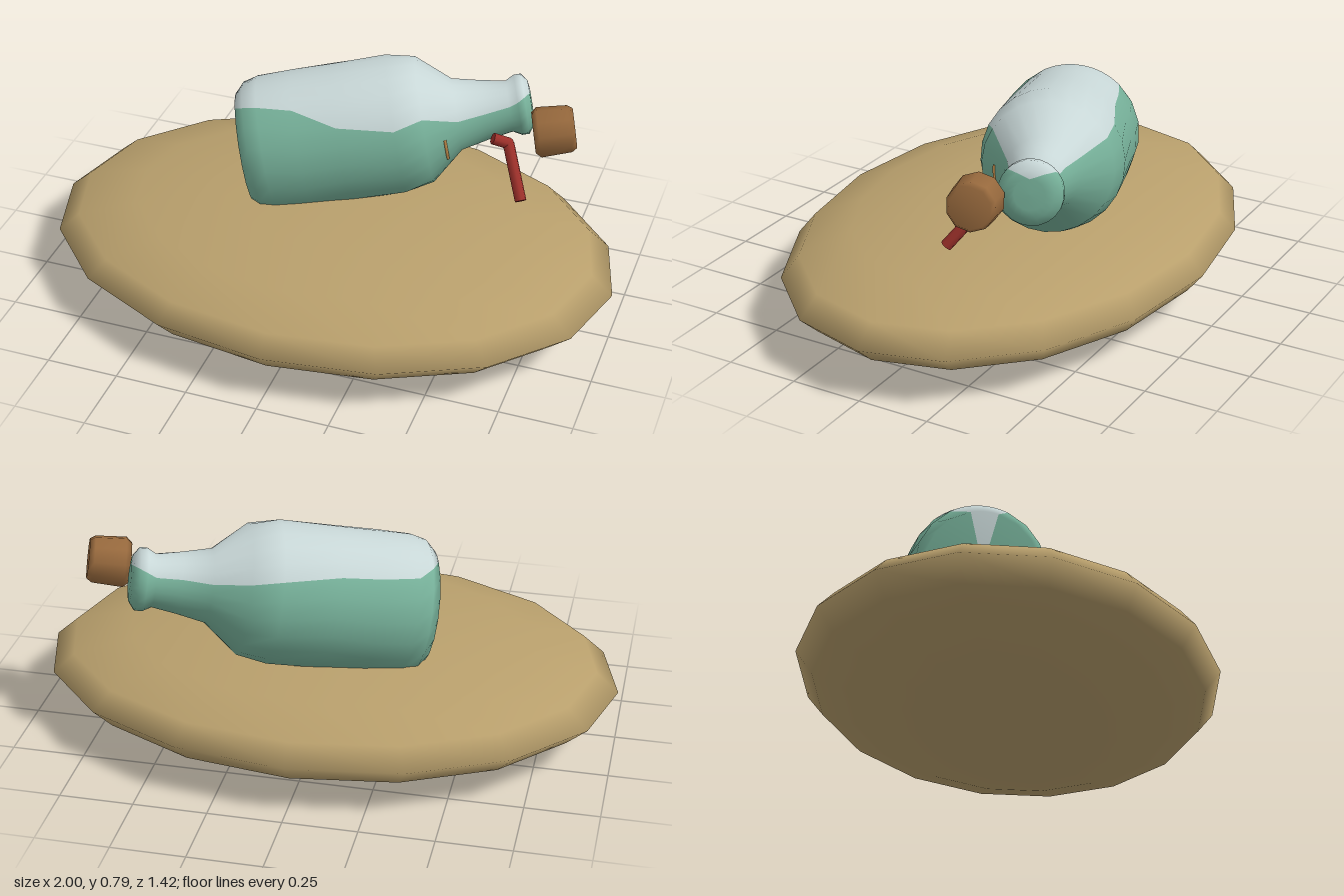
import * as THREE from 'three';

const mat = (name, color) => Object.assign(new THREE.MeshStandardMaterial({ color }), { name });
const sand = mat('sand', 0xb89f6c);
const glass = mat('green glass', 0x76b099);
const frost = mat('pale frost', 0xc8d7d7);
const cork = mat('cork brown', 0x97693d);
const red = mat('red', 0x9c302a);
const orange = mat('orange', 0xc08a4a);

const RAD = Math.PI / 180;

function part(name, geometry, material) {
  const mesh = new THREE.Mesh(geometry, material);
  mesh.name = name;
  return mesh;
}

// Bottle rings: radius, height below the mouth, and the frost's half angle (front, back) in degrees
const rings = [
  [0, -1.0, 0, 0],
  [0.195, -1.0, 14, 14],
  [0.225, -0.97, 22, 30],
  [0.238, -0.92, 26, 42],
  [0.241, -0.8, 34, 46],
  [0.241, -0.66, 54, 48],
  [0.242, -0.47, 64, 56],
  [0.22, -0.37, 58, 60],
  [0.125, -0.257, 70, 62],
  [0.104, -0.16, 66, 58],
  [0.089, -0.075, 60, 58],
  [0.105, -0.045, 54, 52],
  [0.105, -0.02, 46, 46],
  [0.078, 0.0, 32, 32],
  [0.05, 0.004, 0, 0],
  [0, 0.005, 0, 0],
];

// Lathe whose start and end angle change from ring to ring
function sweptLathe(segments, start, end) {
  const geo = new THREE.LatheGeometry(rings.map(([r, y]) => new THREE.Vector2(r, y)), segments);
  const pos = geo.attributes.position, nor = geo.attributes.normal;
  for (let i = 0; i <= segments; i++) {
    const turn = (i / segments) * Math.PI * 2;
    rings.forEach((ring, j) => {
      const k = i * rings.length + j;
      const a = THREE.MathUtils.lerp(start(ring), end(ring), i / segments) * RAD;
      const n = nor.getX(k) * Math.sin(turn) + nor.getZ(k) * Math.cos(turn);
      pos.setXYZ(k, ring[0] * Math.sin(a), ring[1], ring[0] * Math.cos(a));
      nor.setXYZ(k, n * Math.sin(a), nor.getY(k), n * Math.cos(a));
    });
  }
  return geo;
}

// Orientation shared by bottle and cork: local y runs to the mouth, local z is the upper side
function tilt(yaw, pitch) {
  const [cy, sy, cp, sp] = [Math.cos(yaw * RAD), Math.sin(yaw * RAD), Math.cos(pitch * RAD), Math.sin(pitch * RAD)];
  const along = new THREE.Vector3(cp * cy, sp, -cp * sy);
  const up = new THREE.Vector3(-sp * cy, cp, sp * sy);
  const side = new THREE.Vector3().crossVectors(along, up);
  return new THREE.Quaternion().setFromRotationMatrix(new THREE.Matrix4().makeBasis(side, along, up));
}

// Capped round rod between two points
function rod(a, b, radius) {
  const d = b.clone().sub(a);
  const geo = new THREE.CylinderGeometry(radius, radius, d.length(), 8);
  geo.applyQuaternion(new THREE.Quaternion().setFromUnitVectors(new THREE.Vector3(0, 1, 0), d.clone().normalize()));
  return geo.translate((a.x + b.x) / 2, (a.y + b.y) / 2, (a.z + b.z) / 2);
}

export function createModel() {
  const model = new THREE.Group();
  model.name = 'bottleOnSand';

  // Flattened mound of sand
  const mound = part('sandMound', new THREE.SphereGeometry(1, 16, 8), sand);
  mound.scale.set(1, 0.178, 0.71);
  mound.position.y = 0.179;
  model.add(mound);

  // Half-buried bottle with frost along its upper side
  const bottle = new THREE.Group();
  bottle.name = 'bottle';
  bottle.position.set(0.59, 0.635, -0.38);
  bottle.quaternion.copy(tilt(20, 10));
  bottle.add(
    part('bottleGlass', sweptLathe(16, (r) => r[2], (r) => 360 - r[3]), glass),
    part('bottleFrost', sweptLathe(8, (r) => -r[3], (r) => r[2]), frost),
  );

  // Thin sliver on the shoulder
  const arc = [];
  for (let a = 86; a <= 120; a += 8) {
    arc.push(new THREE.Vector3(0.166 * Math.sin(a * RAD), -0.308, 0.166 * Math.cos(a * RAD)));
  }
  bottle.add(part('shoulderSliver', new THREE.TubeGeometry(new THREE.CatmullRomCurve3(arc), 8, 0.006, 6), orange));
  model.add(bottle);

  // Loose cork
  const corkProfile = [[0, -0.07], [0.07, -0.07], [0.086, -0.052], [0.08, 0.052], [0.068, 0.07], [0, 0.07]];
  const stopper = part('cork', new THREE.LatheGeometry(corkProfile.map(([r, y]) => new THREE.Vector2(r, y)), 10), cork);
  stopper.position.set(0.706, 0.625, -0.252);
  stopper.quaternion.copy(tilt(18, 9));
  model.add(stopper);

  // Bent red cord below the neck
  const cord = new THREE.Group();
  cord.name = 'cord';
  const [a, b, c] = [[0.51, 0.588, -0.19], [0.56, 0.565, -0.213], [0.64, 0.415, -0.105]].map((p) => new THREE.Vector3(...p));
  const bend = part('cordBend', new THREE.SphereGeometry(0.02, 8, 6), red);
  bend.position.copy(b);
  cord.add(part('cordShort', rod(a, b, 0.02), red), bend, part('cordLong', rod(b, c, 0.02), red));
  model.add(cord);

  return model;
}
